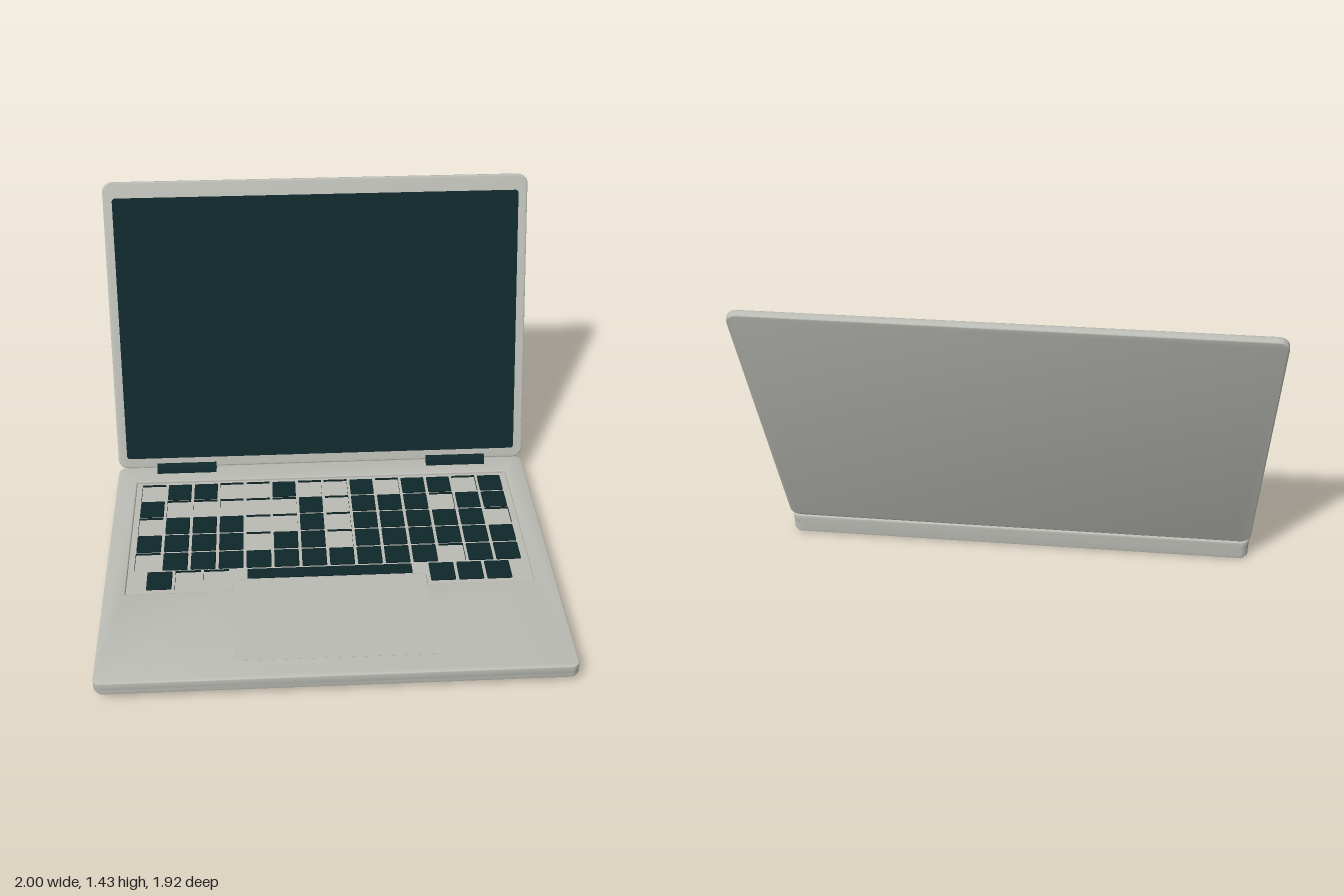
import * as THREE from 'three';
import { toCreasedNormals } from 'three/addons/utils/BufferGeometryUtils.js';
import { RoundedBoxGeometry } from 'three/addons/geometries/RoundedBoxGeometry.js';

const silver = new THREE.MeshStandardMaterial({ color: 0xbcbcb6 });
silver.name = 'silver shell';
const dark = new THREE.MeshStandardMaterial({ color: 0x0f282a });
dark.name = 'dark glass and keys';

const BACK = -0.49, FRONT = 0.96, FLOOR = 0.088, TOP = 0.1;

function add(parent, name, geometry, material, x = 0, y = 0, z = 0) {
  const mesh = new THREE.Mesh(geometry, material);
  mesh.name = name;
  mesh.position.set(x, y, z);
  parent.add(mesh);
  return mesh;
}

function roundedRect(x0, y0, x1, y1, r) {
  const s = new THREE.Shape();
  s.absarc(x1 - r, y1 - r, r, 0, Math.PI / 2);
  s.absarc(x0 + r, y1 - r, r, Math.PI / 2, Math.PI);
  s.absarc(x0 + r, y0 + r, r, Math.PI, Math.PI * 1.5);
  s.absarc(x1 - r, y0 + r, r, Math.PI * 1.5, Math.PI * 2);
  return s;
}

// Extrusion whose bevels stay inside the drawn outline and the given depth
function slab(shape, depth, bevel = 0) {
  const g = new THREE.ExtrudeGeometry(shape, {
    depth: depth - 2 * bevel, curveSegments: 6, bevelEnabled: bevel > 0,
    bevelThickness: bevel, bevelSize: bevel, bevelOffset: -bevel, bevelSegments: 3,
  });
  g.translate(0, 0, bevel);
  return toCreasedNormals(g, 0.6);
}

// Lower case: cross-sections along z, underside rising toward the front
function lowerCase() {
  const r = 0.035, b = 0.008, stations = [];
  for (let i = 0; i <= 5; i++) {
    const a = (i / 5) * Math.PI / 2;
    stations.push([BACK + r * (1 - Math.sin(a)), 1 - r * (1 - Math.cos(a))]);
  }
  stations.reverse();
  // reorder so the list runs from the back edge inward, then out to the front edge
  const back = stations.slice().sort((p, q) => p[0] - q[0]);
  const front = back.map(([z, w]) => [FRONT - (z - BACK), w]).reverse();
  const rows = [...back, [0.15, 1], ...front];
  const loops = rows.map(([z, w], k) => {
    const end = k === 0 || k === rows.length - 1;
    const y = 0.01 + Math.max(0, (z - 0.15) / (FRONT - 0.15)) * 0.028 + (end ? 0.008 : 0);
    return [[w, FLOOR], [-w, FLOOR], [-w, y + b], [-w + b, y], [w - b, y], [w, y + b]]
      .map(([px, py]) => [px, py, z]);
  });
  const pos = [], n = 6;
  const tri = (...pts) => pts.forEach((p) => pos.push(...p));
  for (let k = 0; k < loops.length - 1; k++) {
    for (let i = 0; i < n; i++) {
      const j = (i + 1) % n, p = loops[k], q = loops[k + 1];
      tri(p[i], p[j], q[j]);
      tri(p[i], q[j], q[i]);
    }
  }
  const first = loops[0], last = loops[loops.length - 1];
  for (let i = 1; i < n - 1; i++) {
    tri(last[0], last[i], last[i + 1]);
    tri(first[0], first[i + 1], first[i]);
  }
  const g = new THREE.BufferGeometry();
  g.setAttribute('position', new THREE.Float32BufferAttribute(pos, 3));
  g.computeVertexNormals();
  return toCreasedNormals(g, 0.5);
}

// Top deck with an opening for the keyboard, notched around the trackpad
function deck() {
  const s = roundedRect(-1, -FRONT, 1, -BACK, 0.035);
  const hole = [[-0.905, 0.37], [-0.905, -0.43], [-0.43, -0.43], [-0.43, -0.37], [-0.415, -0.355],
    [0.415, -0.355], [0.43, -0.37], [0.43, -0.43], [0.905, -0.43], [0.905, 0.37]];
  s.holes.push(new THREE.Path(hole.map(([x, y]) => new THREE.Vector2(x, y))));
  return slab(s, TOP - 0.055, 0.006).rotateX(-Math.PI / 2);
}

function keyboard() {
  const group = new THREE.Group();
  group.name = 'keyboard';
  const size = 0.112, h = TOP - FLOOR, pitch = 0.1258;
  const cap = new RoundedBoxGeometry(size, h, size, 2, 0.005);
  // Empty key socket: four inward-facing walls
  const tube = new THREE.CylinderGeometry(size / Math.SQRT2, size / Math.SQRT2, h, 4, 1, true);
  const socket = toCreasedNormals(tube.rotateY(Math.PI / 4).scale(-1, 1, 1), 0.5);
  const y = FLOOR + h / 2;
  const rows = [
    '.##..#..#.##.#',
    '#.....#.###.##',
    '.###..#.#####.',
    '####.##.######',
    '.##########.##',
  ];
  rows.forEach((row, r) => [...row].forEach((c, i) => {
    const filled = c === '#';
    add(group, filled ? 'key' : 'keySocket', filled ? cap : socket, dark,
      -0.82 + i * pitch, y, -0.286 + r * 0.1262);
  }));
  // Bottom row around the space bar
  for (const x of [-0.76, 0.503, 0.629, 0.755]) add(group, 'key', cap, dark, x, y, 0.345);
  for (const x of [-0.634, -0.508]) add(group, 'keySocket', socket, dark, x, y, 0.345);
  add(group, 'spaceBar', new RoundedBoxGeometry(0.74, h, 0.058, 2, 0.005), dark, 0, y, 0.318);
  return group;
}

// Lid hinged at its lower edge and leaning back
function lid() {
  const group = new THREE.Group();
  group.name = 'lid';
  group.position.set(0, 0.11, -0.478);
  group.rotation.x = -THREE.MathUtils.degToRad(19.5);
  add(group, 'lidShell', slab(roundedRect(-1, 0, 1, 1.395, 0.045), 0.03, 0.007), silver, 0, 0, -0.015);
  add(group, 'screen', slab(roundedRect(-0.957, 0.048, 0.957, 1.321, 0.015), 0.003), dark, 0, 0, 0.0135);
  return group;
}

export function createModel() {
  const model = new THREE.Group();
  model.name = 'laptop';

  const base = new THREE.Group();
  base.name = 'base';
  model.add(base);
  add(base, 'lowerCase', lowerCase(), silver);
  add(base, 'deck', deck(), silver, 0, 0.055, 0);
  base.add(keyboard());
  const pad = slab(roundedRect(-0.425, -0.86, 0.425, -0.365, 0.015), 0.002).rotateX(-Math.PI / 2);
  add(base, 'trackpad', pad, silver, 0, TOP - 0.001, 0);

  // Hinge covers: a sloped profile run along x
  const profile = new THREE.Shape([[0.43, 0.095], [0.475, 0.095], [0.485, 0.135], [0.462, 0.135], [0.442, 0.125]]
    .map(([x, y]) => new THREE.Vector2(x, y)));
  const hinge = slab(profile, 0.29).rotateY(Math.PI / 2).rotateY(Math.PI / 2).rotateY(-Math.PI / 2);
  hinge.translate(-0.145, 0, 0);
  for (const side of [-1, 1]) add(base, 'hinge', hinge, dark, side * 0.665, 0, 0);

  // Feet, the front pair hung from small mounts under the rising case
  const foot = slab(roundedRect(-0.1, -0.025, 0.1, 0.025, 0.02), 0.012).rotateX(-Math.PI / 2);
  for (const side of [-1, 1]) {
    add(base, 'rearFoot', foot, dark, side * 0.8, 0, -0.295);
    add(base, 'frontFoot', foot, dark, side * 0.8, 0, 0.765);
    add(base, 'footMount', new THREE.BoxGeometry(0.16, 0.03, 0.02), silver, side * 0.8, 0.024, 0.765);
  }

  // Side ports: one wide on the left, three small on the right
  const port = (w, h, x, z) => {
    const g = slab(roundedRect(-w / 2, -h / 2, w / 2, h / 2, h * 0.35), 0.004);
    add(base, 'port', g.rotateY(Math.PI / 2), silver, x, 0.052, z);
  };
  port(0.1, 0.032, 0.9975, 0.235);
  port(0.045, 0.02, -1.0015, 0.25);
  port(0.045, 0.02, -1.0015, 0.36);
  port(0.034, 0.032, -1.0015, 0.54);

  model.add(lid());
  return model;
}
